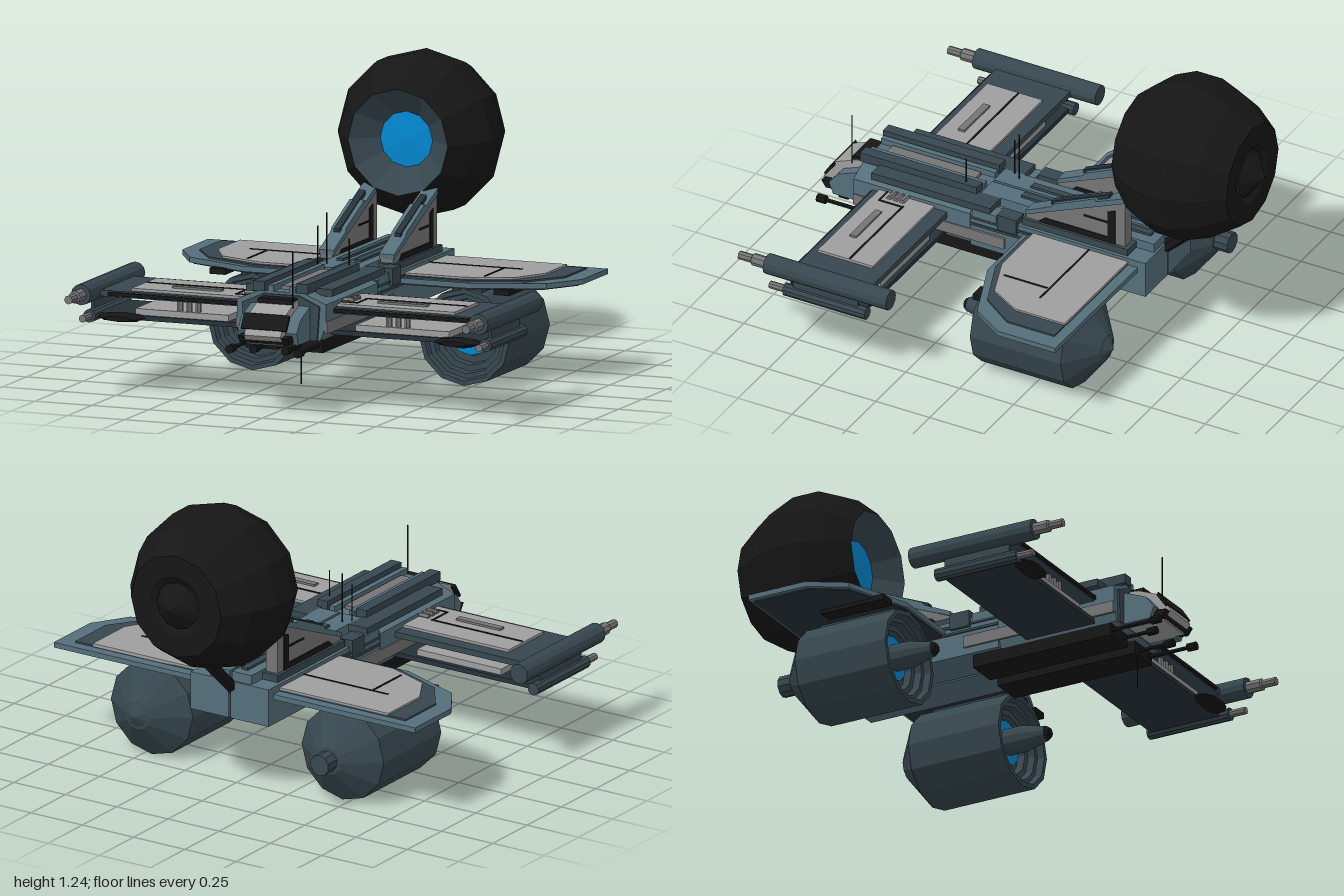
import * as THREE from 'three';

const C = { slate: 0x546e7a, dark: 0x37474f, deep: 0x263238, black: 0x161616, panel: 0x9e9e9e, grey: 0x757575, blue: 0x0288d1 };
const mats = {};
const mat = (c) => (mats[c] ??= new THREE.MeshStandardMaterial({ color: C[c], flatShading: true, side: THREE.DoubleSide }));

export function createModel() {
  const root = new THREE.Group();
  const add = (name, color, geo, x = 0, y = 0, z = 0) => {
    const m = new THREE.Mesh(geo, mat(color));
    m.name = name;
    m.position.set(x, y, z);
    root.add(m);
    return m;
  };
  // Box given by its limits
  const box = (name, color, x0, x1, y0, y1, z0, z1) =>
    add(name, color, new THREE.BoxGeometry(x1 - x0, y1 - y0, z1 - z0), (x0 + x1) / 2, (y0 + y1) / 2, (z0 + z1) / 2);
  const pair = (name, color, x0, x1, ...rest) => {
    box(name + 'Left', color, x0, x1, ...rest);
    box(name + 'Right', color, -x1, -x0, ...rest);
  };
  const shapeOf = (pts) => new THREE.Shape(pts.map(([a, b]) => new THREE.Vector2(a, b)));
  const extrude = (pts, depth) => new THREE.ExtrudeGeometry(shapeOf(pts), { depth, bevelEnabled: false });
  // Flat slab from an (x, z) outline, hanging down from y
  const slab = (name, color, pts, y, depth) => add(name, color, extrude(pts, depth).rotateX(Math.PI / 2), 0, y);
  // Solid from an (x, y) outline running from z0 to z1
  const prism = (name, color, pts, z0, z1) => add(name, color, extrude(pts, z1 - z0), 0, 0, z0);
  // Solid from a (z, y) outline running from x0 to x1
  const side = (name, color, pts, x0, x1) =>
    add(name, color, extrude(pts.map(([z, y]) => [-z, y]), x1 - x0).rotateY(Math.PI / 2), x0);
  // Turned part along z from [radius, z] points
  const turned = (name, color, pts, x, y, sides = 12) =>
    add(name, color, new THREE.LatheGeometry(pts.map(([r, z]) => new THREE.Vector2(r, z)), sides).rotateX(Math.PI / 2), x, y);
  const rod = (name, color, a, b, r, sides = 6) => {
    const p = new THREE.Vector3(...a), q = new THREE.Vector3(...b), d = q.clone().sub(p);
    const m = add(name, color, new THREE.CylinderGeometry(r, r, d.length(), sides));
    m.position.copy(p).add(q).multiplyScalar(0.5);
    m.quaternion.setFromUnitVectors(new THREE.Vector3(0, 1, 0), d.normalize());
  };

  // Rear sphere with funnel, lens and rear tip
  turned('sphereShell', 'black', [[0.1, -0.92], [0.13, -0.94], [0.22, -0.94], [0.295, -0.83], [0.34, -0.71], [0.34, -0.59], [0.3, -0.5], [0.22, -0.41]], 0, 0.905);
  turned('sphereTip', 'black', [[0, -1], [0.1, -0.93]], 0, 0.905);
  turned('sphereFunnel', 'dark', [[0.115, -0.5], [0.22, -0.41]], 0, 0.905);
  turned('sphereLens', 'blue', [[0, -0.49], [0.116, -0.5]], 0, 0.905);
  rod('sphereStrut', 'black', [0, 0.4, -0.5], [0, 0.6, -0.72], 0.027);

  // Fuselage: forward hull, split rear hull, raised spine
  prism('forwardHull', 'slate', [[-0.17, 0.3], [0.17, 0.3], [0.195, 0.36], [0.195, 0.45], [0.1, 0.49], [-0.1, 0.49], [-0.195, 0.45], [-0.195, 0.36]], 0.26, 0.8);
  pair('rearHull', 'slate', 0.006, 0.19, 0.3, 0.46, -0.55, 0.26);
  pair('rearDeck', 'slate', 0.006, 0.1, 0.46, 0.5, -0.54, 0.26);
  pair('deckRail', 'dark', 0.025, 0.055, 0.5, 0.51, -0.5, 0.1);
  pair('hullBelt', 'grey', 0.19, 0.2, 0.33, 0.38, 0.1, 0.8);
  pair('spineBlock', 'dark', 0.1, 0.19, 0.47, 0.5, 0.17, 0.72);
  pair('spineCap', 'dark', 0.07, 0.12, 0.49, 0.53, 0.27, 0.81);
  pair('spineStrip', 'slate', 0.035, 0.06, 0.49, 0.515, 0.27, 0.8);
  box('spineChannel', 'grey', -0.025, 0.025, 0.49, 0.505, 0.33, 0.74);
  pair('sideBox', 'dark', 0.14, 0.205, 0.42, 0.49, 0.04, 0.13);
  pair('sideStep', 'slate', 0.13, 0.195, 0.44, 0.475, 0.14, 0.25);
  for (const y of [0.4, 0.43]) pair('hullLine', 'dark', 0.185, 0.197, y, y + 0.01, -0.4, 0.26);
  pair('bellySkid', 'black', 0.03, 0.17, 0.245, 0.31, 0.13, 0.77);
  box('bellyCentre', 'deep', -0.04, 0.04, 0.28, 0.31, 0.13, 0.7);

  // Cockpit
  side('noseHull', 'panel', [[0.76, 0.3], [0.97, 0.3], [1, 0.34], [0.95, 0.42], [0.85, 0.46], [0.76, 0.47]], -0.08, 0.08);
  for (const s of [-1, 1]) {
    const a = s * 0.08, b = s * 0.13;
    side('noseCheek', 'slate', [[0.76, 0.3], [0.93, 0.3], [0.95, 0.35], [0.91, 0.4], [0.76, 0.46]], Math.min(a, b), Math.max(a, b));
  }
  side('windshield', 'black', [[0.952, 0.424], [0.945, 0.41], [0.98, 0.36], [0.99, 0.366]], -0.1, 0.1);
  side('noseChin', 'black', [[0.93, 0.31], [0.975, 0.305], [0.995, 0.335], [0.95, 0.34]], -0.11, 0.11);
  box('canopyHatch', 'black', -0.075, 0.075, 0.45, 0.472, 0.8, 0.87);
  prism('collar', 'dark', [[-0.16, 0.3], [0.16, 0.3], [0.17, 0.44], [0.08, 0.48], [-0.08, 0.48], [-0.17, 0.44]], 0.79, 0.81);

  // Antennas
  for (const [x, y0, y1, z] of [[0.08, 0.44, 0.67, 0.87], [0.1, 0.48, 0.64, 0.33], [-0.09, 0.45, 0.66, 0.21], [-0.065, 0.45, 0.71, 0.175], [0.07, 0.11, 0.26, 0.76]])
    rod('antenna', 'black', [x, y0, z], [x, y1, z], 0.003, 4);

  for (const s of [-1, 1]) {
    const X = (pts) => pts.map(([x, z]) => [s * x, z]);
    const mbox = (n, c, x0, x1, ...r) => (s > 0 ? box(n, c, x0, x1, ...r) : box(n, c, -x1, -x0, ...r));
    const mside = (n, c, pts, x0, x1) => (s > 0 ? side(n, c, pts, x0, x1) : side(n, c, pts, -x1, -x0));

    // Guns under the nose
    for (const [x, z, y] of [[0.15, 0.99, 0.275], [0.07, 0.93, 0.27]]) {
      rod('gunBarrel', 'black', [s * x, y, 0.7], [s * x, y, z], 0.009);
      rod('gunMuzzle', 'black', [s * x, y, z - 0.04], [s * x, y, z], 0.018, 8);
    }

    // Swept fins holding the sphere
    mside('fin', 'grey', [[0.02, 0.44], [0.02, 0.51], [-0.44, 0.72], [-0.44, 0.44]], 0.105, 0.16);
    mside('finTop', 'slate', [[0.02, 0.505], [0.02, 0.525], [-0.1, 0.58], [-0.11, 0.595], [-0.3, 0.68], [-0.31, 0.67], [-0.44, 0.725], [-0.44, 0.7]], 0.1, 0.165);
    mside('finSlot', 'deep', [[-0.09, 0.58], [-0.09, 0.594], [-0.36, 0.71], [-0.36, 0.69]], 0.12, 0.148);
    mside('finStripe', 'black', [[-0.04, 0.49], [-0.07, 0.515], [-0.36, 0.515], [-0.36, 0.635], [-0.395, 0.65], [-0.395, 0.49]], 0.101, 0.164);
    mbox('finLine', 'black', 0.101, 0.164, 0.58, 0.588, -0.36, -0.25);
    mbox('finFoot', 'dark', 0.1, 0.175, 0.45, 0.49, -0.46, 0.03);

    // Rear wing
    slab('rearWing', 'slate', X([[0.1, -0.515], [0.88, -0.515], [0.88, -0.25], [0.785, -0.1], [0.5, 0.01], [0.1, 0.01]]), 0.43, 0.022);
    slab('rearWingUnderside', 'deep', X([[0.12, -0.5], [0.86, -0.5], [0.86, -0.25], [0.77, -0.11], [0.5, 0], [0.12, 0]]), 0.41, 0.008);
    slab('rearWingBorder', 'dark', X([[0.18, -0.47], [0.805, -0.47], [0.805, -0.25], [0.7, -0.1], [0.47, -0.01], [0.18, -0.01]]), 0.437, 0.01);
    slab('rearWingPanel', 'panel', X([[0.18, -0.47], [0.72, -0.47], [0.72, -0.24], [0.64, -0.1], [0.45, -0.03], [0.18, -0.03]]), 0.445, 0.012);
    mbox('rearWingSeam', 'black', 0.19, 0.6, 0.44, 0.448, -0.293, -0.286);
    mbox('rearWingSeamCross', 'black', 0.518, 0.526, 0.44, 0.448, -0.28, -0.08);
    mbox('wingRail', 'black', 0.59, 0.66, 0.385, 0.41, -0.3, -0.01);

    // Engine pod with stepped intake
    const ex = s * 0.465, ey = 0.203;
    turned('enginePod', 'dark', [[0, -0.535], [0.06, -0.525], [0.2, -0.42], [0.2, 0], [0.18, 0], [0.175, -0.03], [0.155, -0.03], [0.15, -0.06], [0.125, -0.06], [0.12, -0.09], [0.09, -0.09]], ex, ey);
    turned('engineRing', 'blue', [[0.055, -0.07], [0.095, -0.07]], ex, ey + 0.01);
    turned('engineSpike', 'dark', [[0.055, -0.1], [0.055, 0.01], [0.03, 0.115], [0, 0.13]], ex, ey + 0.01);
    turned('engineSpikeTip', 'black', [[0.032, 0.112], [0.02, 0.13], [0, 0.133]], ex, ey + 0.01);
    if (s < 0) turned('engineNozzle', 'dark', [[0, -0.59], [0.045, -0.59], [0.045, -0.48]], ex, ey, 10);
    else turned('engineTail', 'dark', [[0, -0.555], [0.07, -0.515]], ex, ey, 10);
    mbox('enginePylon', 'dark', 0.4, 0.53, 0.38, 0.415, -0.38, -0.03);

    // Front upper wing
    mbox('frontWing', 'dark', 0.17, 0.85, 0.4, 0.425, 0.365, 0.71);
    mbox('frontWingPanel', 'panel', 0.19, 0.71, 0.42, 0.436, 0.425, 0.68);
    mbox('frontWingEdge', 'black', 0.19, 0.8, 0.405, 0.42, 0.7, 0.718);
    mbox('frontWingSeam', 'black', 0.26, 0.705, 0.43, 0.439, 0.53, 0.538);
    mbox('frontWingSeamCross', 'black', 0.262, 0.27, 0.43, 0.439, 0.53, 0.645);
    mbox('frontWingSeamInner', 'black', 0.19, 0.27, 0.43, 0.439, 0.638, 0.645);
    mbox('frontWingVent', 'grey', 0.345, 0.56, 0.43, 0.445, 0.585, 0.615);
    for (const z of [0.55, 0.58, 0.61]) rod('wingPipe', 'grey', [s * 0.18, 0.44, z], [s * 0.24, 0.44, z], 0.012);

    // Front lower wing and the struts between both
    mbox('lowerWing', 'deep', 0.16, 0.87, 0.31, 0.33, 0.38, 0.7);
    mbox('lowerWingPanel', 'panel', 0.28, 0.69, 0.325, 0.356, 0.4, 0.69);
    turned('lowerWingLamp', 'black', [[0.1, 0.69], [0.1, 0.73], [0.06, 0.76], [0, 0.76]], s * 0.74, 0.32, 8).scale.y = 0.18;
    for (const x of [0.42, 0.46, 0.5]) rod('wingStrut', 'grey', [s * x, 0.35, 0.67], [s * x, 0.405, 0.67], 0.013);

    // Wing tip pods
    turned('upperPod', 'dark', [[0, 0.25], [0.043, 0.25], [0.043, 0.82], [0, 0.82]], s * 0.875, 0.42, 12);
    turned('upperPodMuzzle', 'grey', [[0.026, 0.81], [0.026, 0.885], [0.018, 0.89], [0.018, 0.95], [0, 0.95]], s * 0.875, 0.42, 8);
    turned('lowerPod', 'dark', [[0, 0.36], [0.027, 0.36], [0.027, 0.74], [0, 0.74]], s * 0.872, 0.32, 10);
    turned('lowerPodMuzzle', 'grey', [[0.016, 0.73], [0.016, 0.81], [0, 0.81]], s * 0.872, 0.32, 8);
    mbox('podLink', 'dark', 0.868, 0.88, 0.33, 0.4, 0.4, 0.7);
  }
  return root;
}
